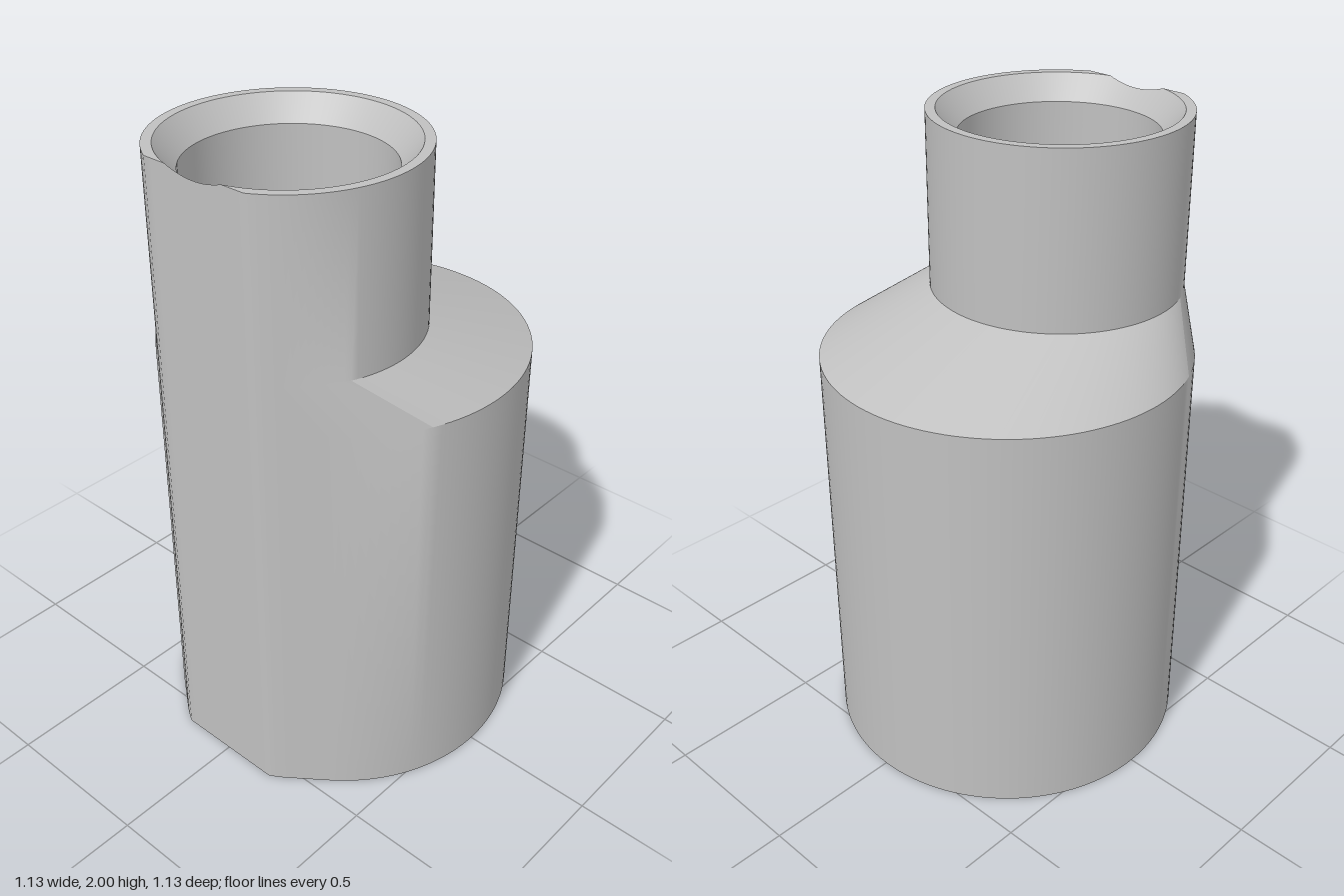
import * as THREE from 'three';
import { toCreasedNormals } from 'three/addons/utils/BufferGeometryUtils.js';

const BODY_R = 0.565, NECK_R = 0.39, NECK_Z = 0.22, FRONT = 0.565;
const RIM_R = 0.36, BORE_R = 0.3, CAVITY_R = 0.472;
const CHAMFER = 0.075, TOP = 2;
const FLAT = FRONT - NECK_Z; // neck axis to the front flat

// Angles from +z where the outline changes: notch end, flat end, tangent to the body
const NOTCH = Math.acos(FLAT / RIM_R);
const FLAT_END = Math.acos(FLAT / NECK_R);
const TANGENT = Math.acos((BODY_R - NECK_R) / NECK_Z);

// Shared list of angles around the part; 'big' marks stations on the body circle
function makeStations() {
  const half = [];
  const span = (a, b, n, big) => {
    for (let i = 0; i <= n; i++) half.push({ t: a + (b - a) * i / n, big });
  };
  span(0, NOTCH, 8, false);
  span(NOTCH, FLAT_END, 3, false);
  span(FLAT_END, TANGENT, 3, false);
  span(TANGENT, Math.PI, 48, true);
  const mirrored = half.slice().reverse().map(s => ({ t: -s.t, big: s.big }));
  return [...mirrored, ...half];
}
const stations = makeStations();

const circle = (r, y, z = 0) => stations.map(({ t }) =>
  new THREE.Vector3(r * Math.sin(t), y, z + r * Math.cos(t)));

// Neck-centred point, trimmed by the front flat
function neckPoint(t, r, y) {
  const c = Math.cos(t);
  const d = c > 0 ? Math.min(r, FLAT / c) : r;
  return new THREE.Vector3(d * Math.sin(t), y, NECK_Z + d * c);
}

// Height of the chamfer where the flat cuts through it
function rimHeight(t) {
  const c = Math.cos(t);
  const d = c > 0 ? Math.min(RIM_R, FLAT / c) : RIM_R;
  return TOP - CHAMFER * (RIM_R - d) / (RIM_R - BORE_R);
}

const neckRing = y => stations.map(({ t }) => neckPoint(t, NECK_R, y));
const bodyRing = y => stations.map(({ t, big }) => big
  ? new THREE.Vector3(BODY_R * Math.sin(t), y, BODY_R * Math.cos(t))
  : neckPoint(t, NECK_R, y));
const topRing = () => stations.map(({ t }) => neckPoint(t, NECK_R, rimHeight(t)));
const rimRing = () => stations.map(({ t }) => neckPoint(t, RIM_R, rimHeight(t)));

// Skin between successive rings, leaving out collapsed triangles
function loft(rings) {
  const pos = [];
  const tri = (a, b, c) => {
    const area = b.clone().sub(a).cross(c.clone().sub(a)).length();
    if (area > 1e-9) for (const p of [a, b, c]) pos.push(p.x, p.y, p.z);
  };
  for (let i = 0; i < rings.length - 1; i++) {
    for (let j = 0; j < stations.length; j++) {
      const k = (j + 1) % stations.length;
      const a = rings[i][j], b = rings[i][k], c = rings[i + 1][k], d = rings[i + 1][j];
      tri(a, b, c);
      tri(a, c, d);
    }
  }
  const geo = new THREE.BufferGeometry();
  geo.setAttribute('position', new THREE.Float32BufferAttribute(pos, 3));
  return toCreasedNormals(geo, Math.PI / 6);
}

export function createModel() {
  const group = new THREE.Group();
  group.name = 'offsetReducer';
  const grey = new THREE.MeshStandardMaterial({ color: 0xc0c0c0 });
  grey.name = 'plain grey';

  const add = (name, rings) => {
    const mesh = new THREE.Mesh(loft(rings), grey);
    mesh.name = name;
    group.add(mesh);
  };

  // Body wall, slanted shoulder and offset neck with the flat front
  add('outerShell', [bodyRing(0), bodyRing(1.31), neckRing(1.46), topRing()]);
  // Top rim, chamfer, bore and its floor
  add('neckSocket', [topRing(), rimRing(), circle(BORE_R, TOP - CHAMFER, NECK_Z),
    circle(BORE_R, 1.46, NECK_Z), circle(0, 1.46, NECK_Z)]);
  // Hollow underside and bottom rim
  add('baseSocket', [circle(0, 1.2), circle(CAVITY_R, 1.2), circle(CAVITY_R, 0), bodyRing(0)]);

  return group;
}
